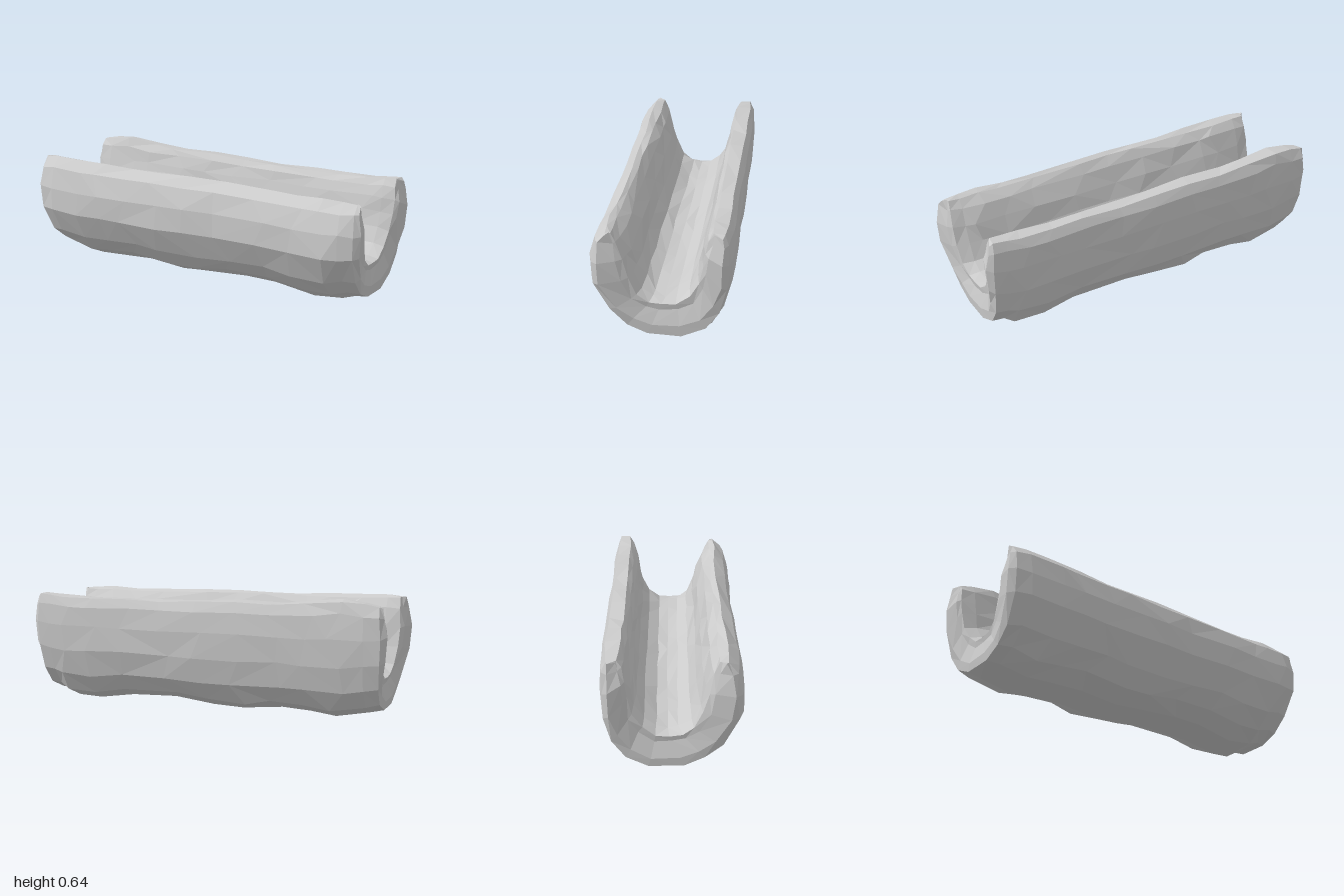
import * as THREE from 'three';

// U-shaped cross-section from front rim to back rim: [outer z, outer y, inner z, inner y]
const PROFILE = [
  [0.262, 0.60, 0.215, 0.588], [0.32, 0.55, 0.178, 0.54], [0.35, 0.44, 0.145, 0.45],
  [0.349, 0.31, 0.12, 0.355], [0.272, 0.16, 0.08, 0.272], [0.18, 0.07, 0.025, 0.24],
  [0.075, 0.018, -0.03, 0.234], [-0.125, 0.008, -0.08, 0.24], [-0.245, 0.058, -0.14, 0.285],
  [-0.313, 0.16, -0.18, 0.36], [-0.348, 0.30, -0.198, 0.44], [-0.353, 0.44, -0.213, 0.51],
  [-0.347, 0.55, -0.23, 0.57], [-0.325, 0.60, -0.253, 0.605],
];

// Stations along the length: [x, end rounding, underside lift, back rim lift]
const STATIONS = [
  [-0.995, 1, 0, 0], [-0.965, 0.45, 0, 0.01], [-0.88, 0.12, 0.02, 0.02], [-0.73, 0, 0, 0.035],
  [-0.58, 0, 0.01, 0.01], [-0.4, 0, 0.02, 0.005], [-0.2, 0, 0, 0.005], [0, 0, 0.01, -0.005],
  [0.2, 0, 0.03, -0.01], [0.45, 0, 0.03, -0.01], [0.64, 0, -0.005, -0.01], [0.8, 0, 0.005, -0.01],
  [0.89, 0.15, 0.02, 0], [0.965, 0.45, 0, 0], [0.995, 1, 0, -0.01],
];

// Repeatable small unevenness for the hand-carved surface
const uneven = (a, b, c) => {
  const v = Math.sin(a * 12.99 + b * 78.23 + c * 37.72) * 43758.55;
  return v - Math.floor(v) - 0.5;
};

function troughGeometry() {
  const n = PROFILE.length;
  const ring = 2 * n;
  const positions = [];
  const index = [];

  STATIONS.forEach(([x, e, lift, rim], s) => {
    for (let j = 0; j < ring; j++) {
      const outer = j < n;
      const k = outer ? j : ring - 1 - j;
      const [oz, oy, iz, iy] = PROFILE[k];
      const bottom = THREE.MathUtils.clamp((0.36 - oy) / 0.3, 0, 1);
      const tip = THREE.MathUtils.clamp((oy - 0.45) / 0.15, 0, 1);
      let z = outer ? oz : iz;
      let y = outer ? oy : iy;
      // pull the wall towards its middle where the ends round over
      const inset = e * (outer ? 0.55 + 0.25 * bottom : 0.5);
      z += ((oz + iz) / 2 - z) * inset;
      y += ((oy + iy) / 2 - y) * inset;
      if (outer) y += lift * bottom;
      // uneven rims and a slight waist along the front wall
      y += tip * (k > n / 2 ? rim : -0.01 * x);
      if (outer && oz > 0.2) z -= 0.025 * Math.max(0, 1 - Math.abs(x - 0.2));
      const px = x - Math.sign(x) * e * (0.045 * bottom + 0.025 * tip + (outer ? 0 : 0.02));
      const mid = Math.abs(x) < 0.85;
      positions.push(
        px + (mid ? 0.1 * uneven(s, j, 1) : 0),
        Math.max(0, y + 0.011 * uneven(s, j, 2)),
        z + 0.011 * uneven(s, j, 3),
      );
    }
  });

  // skin between neighbouring cross-sections, with varied diagonals
  for (let s = 0; s < STATIONS.length - 1; s++) {
    for (let j = 0; j < ring; j++) {
      const a = s * ring + j;
      const b = s * ring + ((j + 1) % ring);
      const c = a + ring;
      const d = b + ring;
      if (uneven(s, j, 4) > 0) index.push(a, b, c, b, d, c);
      else index.push(a, b, d, a, d, c);
    }
  }

  // U-shaped end faces
  const last = (STATIONS.length - 1) * ring;
  for (let a = 0; a < n - 1; a++) {
    const b = a + 1;
    const c = ring - 2 - a;
    const d = ring - 1 - a;
    index.push(a, c, b, a, d, c);
    index.push(last + a, last + b, last + c, last + a, last + c, last + d);
  }

  const geometry = new THREE.BufferGeometry();
  geometry.setAttribute('position', new THREE.Float32BufferAttribute(positions, 3));
  geometry.setIndex(index);
  const faceted = geometry.toNonIndexed();
  faceted.computeVertexNormals();
  return faceted;
}

export function createModel() {
  const group = new THREE.Group();
  group.name = 'carvedTrough';
  const material = new THREE.MeshStandardMaterial({ color: 0xcccccc, flatShading: true });
  const trough = new THREE.Mesh(troughGeometry(), material);
  trough.name = 'troughBody';
  group.add(trough);
  return group;
}
